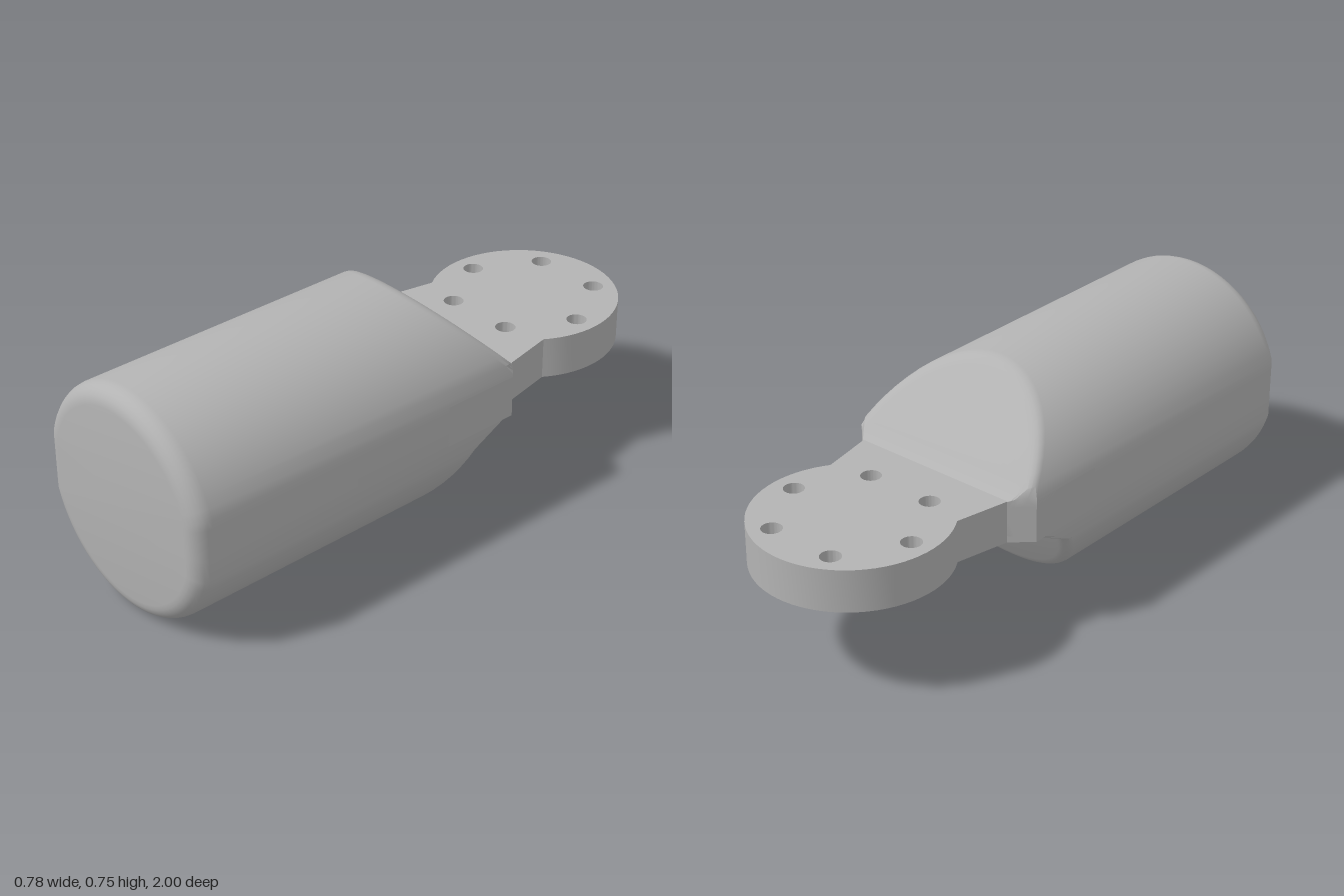
import * as THREE from 'three';
import { toCreasedNormals } from 'three/addons/utils/BufferGeometryUtils.js';

const R = 0.375, CY = 0.375, HALF = 0.36;   // barrel radius, axis height, flattened side
const FRONT = 0.98, ROUND = 0.06, MID = 0.4;
const SHOULDER = -0.275, NECK = -0.335;

// Slopes as [z, y], from the barrel's skin in to the plate
const TOP_CUT = [[-0.05, 0.75], [-0.285, 0.51], [-0.305, 0.488], [-0.32, 0.475], [-0.335, 0.469]];
const BOTTOM_CUT = [[0.03, 0], [-0.135, 0.27], [-0.155, 0.302], [-0.18, 0.323], [-0.215, 0.331], [-0.335, 0.332]];

// z of a slope at a given distance from the mid height
function cutZ(cut, u) {
  for (let i = 0; i < cut.length - 1; i++) {
    const u0 = Math.abs(cut[i][1] - MID), u1 = Math.abs(cut[i + 1][1] - MID);
    if (u >= u1) return THREE.MathUtils.lerp(cut[i][0], cut[i + 1][0], Math.min(1, Math.max(0, (u0 - u) / (u0 - u1))));
  }
  return cut[cut.length - 1][0];
}

// Half width, narrowing at the shoulder chamfer
const widthAt = z => z > SHOULDER ? HALF : HALF - (SHOULDER - z) * 1.08;

// One lengthwise line of the barrel: front centre, rounded rim, side, softened edge, slope
function column(x, y, cut, sign) {
  const pts = [new THREE.Vector3(0, CY, FRONT)];
  const add = (px, py, pz) => {
    const w = widthAt(pz);
    pts.push(new THREE.Vector3(THREE.MathUtils.clamp(px, -w, w), py, pz));
  };
  for (let j = 0; j <= 6; j++) {
    const a = j / 6 * Math.PI / 2;
    const k = 1 - ROUND * (1 - Math.sin(a)) / R;
    add(x * k, CY + (y - CY) * k, FRONT - ROUND * (1 - Math.cos(a)));
  }
  const soft = 0.03, k = 1 - soft / R;
  const dist = py => Math.max(0, sign * (py - MID));
  const yB = CY + (y - CY) * k, uB = dist(yB);
  const edge = new THREE.QuadraticBezierCurve3(
    new THREE.Vector3(x, y, Math.max(SHOULDER, cutZ(cut, dist(y)) + soft)),
    new THREE.Vector3(x, y, cutZ(cut, dist(y))),
    new THREE.Vector3(x * k, yB, cutZ(cut, uB)));
  edge.getPoints(4).forEach(p => add(p.x, p.y, p.z));
  for (const [, py] of cut) {
    const u = Math.min(uB, Math.abs(py - MID));
    add(x * k, u === uB ? yB : MID + sign * u, cutZ(cut, u));
  }
  return pts;
}

// Half of the barrel, above (sign 1) or below (sign -1) the mid height
function barrelHalf(sign) {
  const cut = sign > 0 ? TOP_CUT : BOTTOM_CUT;
  const a0 = Math.acos(HALF / R), n = 28;
  const outline = [[HALF, MID], [HALF, MID + sign * 0.05]];
  for (let i = 0; i <= n; i++) {
    const a = a0 + (Math.PI - 2 * a0) * i / n;
    outline.push([R * Math.cos(a), CY + sign * R * Math.sin(a)]);
  }
  outline.push([-HALF, MID + sign * 0.05], [-HALF, MID]);
  if (sign < 0) outline.reverse();
  const cols = outline.map(([x, y]) => column(x, y, cut, sign));

  const pos = [], ab = new THREE.Vector3(), ac = new THREE.Vector3();
  const tri = (a, b, c) => {
    ab.subVectors(b, a).cross(ac.subVectors(c, a));
    if (ab.length() > 1e-9) pos.push(...a, ...b, ...c);
  };
  for (let i = 0; i < cols.length - 1; i++) {
    for (let r = 0; r < cols[0].length - 1; r++) {
      const a = cols[i][r], b = cols[i + 1][r], c = cols[i][r + 1], d = cols[i + 1][r + 1];
      tri(a, c, b);
      tri(b, c, d);
    }
  }
  return pos;
}

function barrelGeometry() {
  const geo = new THREE.BufferGeometry();
  geo.setAttribute('position', new THREE.Float32BufferAttribute([...barrelHalf(1), ...barrelHalf(-1)], 3));
  return toCreasedNormals(geo, 0.6);
}

// Flat tang: shoulders, tapering neck and round flange with six bolt holes
function plateGeometry() {
  const cz = -0.69, r = 0.3125, a = 0.592;
  const s = new THREE.Shape();
  s.moveTo(-HALF, 0);
  s.lineTo(HALF, 0);
  s.lineTo(HALF, SHOULDER);
  s.lineTo(0.295, NECK);
  s.absarc(0, cz, r, a, Math.PI - a, true);
  s.lineTo(-0.295, NECK);
  s.lineTo(-HALF, SHOULDER);
  s.closePath();
  for (let i = 0; i < 6; i++) {
    const t = i * Math.PI / 3;
    s.holes.push(new THREE.Path().absarc(0.24 * Math.cos(t), cz + 0.24 * Math.sin(t), 0.033, 0, Math.PI * 2, false));
  }
  const geo = new THREE.ExtrudeGeometry(s, { depth: 0.14, bevelEnabled: false, curveSegments: 24 });
  geo.rotateX(Math.PI / 2).translate(0, 0.47, 0);
  return toCreasedNormals(geo, 0.5);
}

export function createModel() {
  const grey = new THREE.MeshStandardMaterial({ color: 0xb3b3b3 });
  grey.name = 'plain grey';
  const model = new THREE.Group();
  model.name = 'flangedBarrel';
  const add = (name, geo) => {
    const mesh = new THREE.Mesh(geo, grey);
    mesh.name = name;
    model.add(mesh);
  };
  add('barrel', barrelGeometry());
  add('flangePlate', plateGeometry());

  // The whole part is turned slightly about the vertical
  model.rotation.y = 0.051;
  model.position.x = -0.02;
  const root = new THREE.Group();
  root.add(model);
  return root;
}
